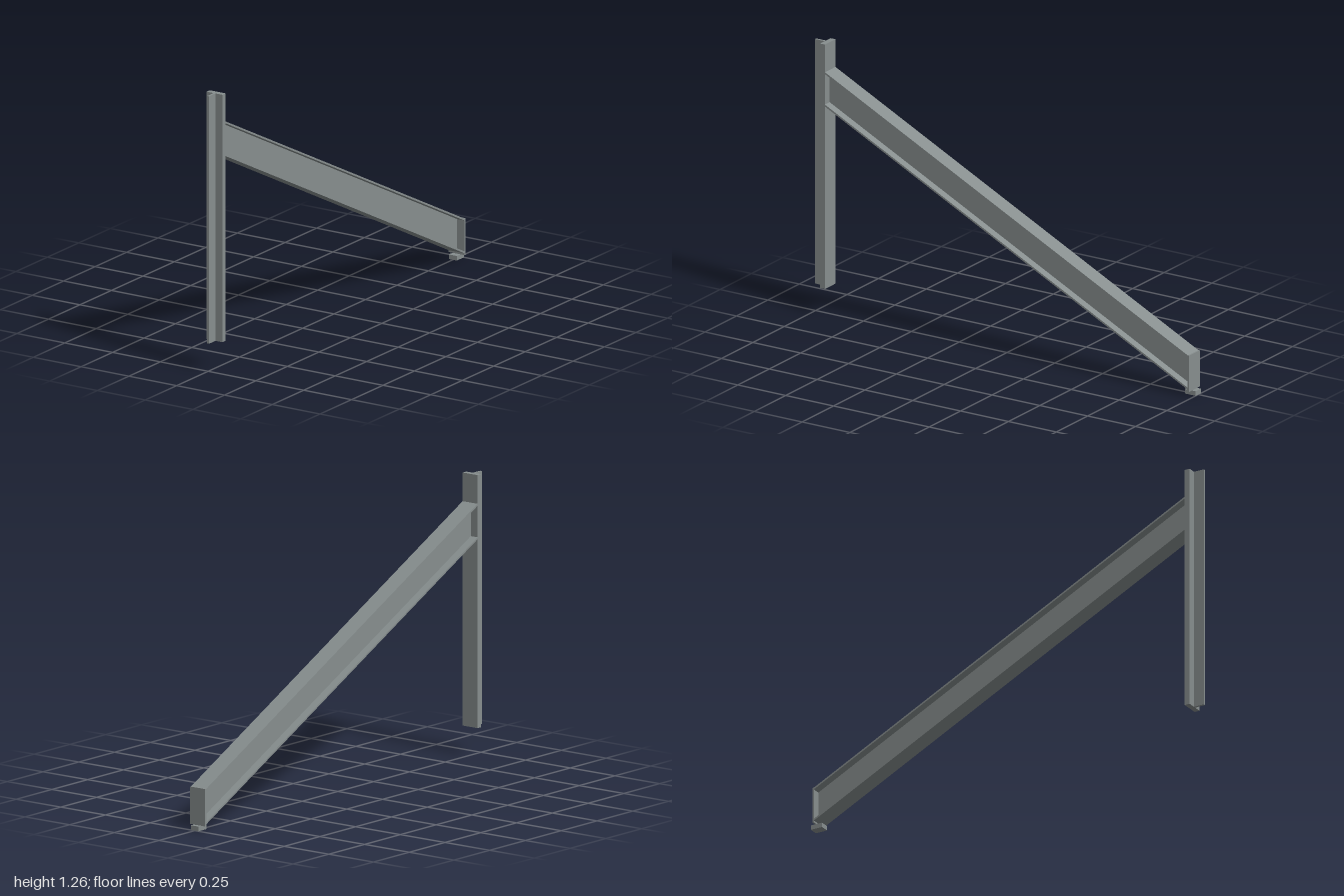
import * as THREE from 'three';

export function createModel() {
  const model = new THREE.Group();
  const steel = new THREE.MeshStandardMaterial({ color: 0x878e8e });
  steel.name = 'steelGrey';

  // Extrudes a side outline of [z, y] points to a width centred on x = 0
  function plate(name, outline, width, parent) {
    const shape = new THREE.Shape(outline.map(([z, y]) => new THREE.Vector2(-z, y)));
    const geo = new THREE.ExtrudeGeometry(shape, { depth: width, bevelEnabled: false });
    geo.translate(0, 0, -width / 2).rotateY(Math.PI / 2);
    const mesh = new THREE.Mesh(geo, steel);
    mesh.name = name;
    parent.add(mesh);
  }
  const rect = (z0, z1, y0, y1) => [[z0, y0], [z1, y0], [z1, y1], [z0, y1]];

  const W = 0.084;           // flange width
  const WEB = 0.008;         // web thickness
  const FLANGE = 0.009;      // beam flange thickness, measured vertically
  const FRONT = 0.924, BACK = -0.972, END = -0.98;

  // T-section post
  const post = new THREE.Group();
  post.name = 'post';
  plate('postFlange', rect(FRONT, 0.949, 0.127, 1.26), W, post);
  plate('postStem', rect(0.949, 1, 0.127, 1.26), 0.01, post);

  // Sloping I-beam, cut vertically at both ends
  const beam = new THREE.Group();
  beam.name = 'beam';
  const bottom = z => 0.513 + 0.4975 * z;
  const H = 0.159;
  const band = (lo, hi) => [
    [BACK, bottom(BACK) + lo], [FRONT, bottom(FRONT) + lo],
    [FRONT, bottom(FRONT) + hi], [BACK, bottom(BACK) + hi],
  ];
  plate('bottomFlange', band(0, FLANGE), W, beam);
  plate('web', band(FLANGE, H - FLANGE), WEB, beam);
  plate('topFlange', band(H - FLANGE, H), W, beam);

  // End plate and the small foot under it
  plate('endPlate', rect(END, BACK, 0.021, bottom(BACK) + H), W, beam);
  plate('foot', rect(-1, -0.943, 0, 0.021), 0.042, model);

  model.add(post, beam);
  return model;
}
